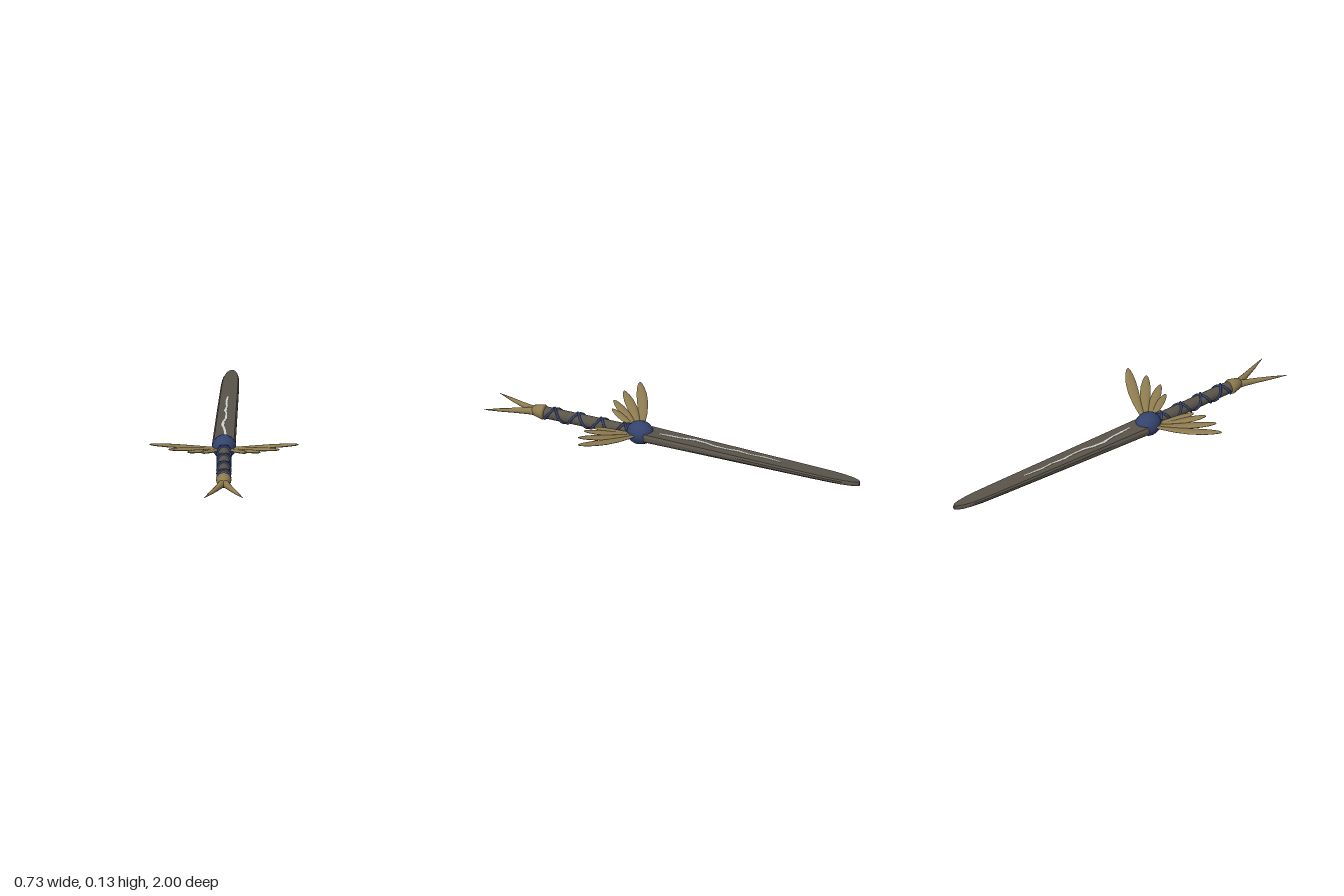
import * as THREE from 'three';
import { toCreasedNormals } from 'three/addons/utils/BufferGeometryUtils.js';

const AXIS_Y = 0.058;
const UP = new THREE.Vector3(0, 1, 0);
const mat = (name, color) => {
  const m = new THREE.MeshStandardMaterial({ color });
  m.name = name;
  return m;
};
const lerp = THREE.MathUtils.lerp;

// Closed solid through stations { p, w, h }; the section is a list of [side, up] factors.
function loft(stations, section, crease = 0.7) {
  const n = section.length, pos = [], idx = [];
  stations.forEach(({ p, w, h }, i) => {
    const before = stations[Math.max(i - 1, 0)].p;
    const after = stations[Math.min(i + 1, stations.length - 1)].p;
    const t = after.clone().sub(before).normalize();
    const side = t.clone().cross(UP).normalize();
    const up = side.clone().cross(t);
    for (const [s, u] of section) {
      const v = p.clone().addScaledVector(side, s * w).addScaledVector(up, u * h);
      pos.push(v.x, v.y, v.z);
    }
  });
  const last = (stations.length - 1) * n;
  for (let i = 0; i < stations.length - 1; i++)
    for (let j = 0; j < n; j++) {
      const a = i * n + j, b = i * n + (j + 1) % n;
      idx.push(a, a + n, b, b, a + n, b + n);
    }
  for (let j = 1; j < n - 1; j++) idx.push(0, j, j + 1, last, last + j + 1, last + j);
  const g = new THREE.BufferGeometry();
  g.setAttribute('position', new THREE.Float32BufferAttribute(pos, 3));
  g.setIndex(idx);
  return toCreasedNormals(g, crease);
}

const oval = (n) => Array.from({ length: n }, (_, i) => {
  const a = (i / n) * Math.PI * 2;
  return [Math.cos(a), Math.sin(a)];
});

export function createModel() {
  const root = new THREE.Group();
  root.name = 'sword';
  const steel = mat('dark steel', 0x5a544a);
  const gold = mat('antique gold', 0x8f7c50);
  const blue = mat('deep blue', 0x35446e);
  const pale = mat('pale crack', 0xd2d2ce);

  const add = (name, geometry, material, parent = root) => {
    const m = new THREE.Mesh(geometry, material);
    m.name = name;
    parent.add(m);
    return m;
  };

  // Blade: left and right edges at each z, leaning slightly to +x
  const halfThick = (z) => lerp(0.021, 0.011, (0.16 - z) / 1.16);
  const outline = [
    [0.16, -0.059, 0.056], [-0.3, -0.04, 0.063], [-0.75, -0.02, 0.07], [-0.85, -0.014, 0.07],
    [-0.91, -0.006, 0.067], [-0.96, 0.006, 0.06], [-0.985, 0.018, 0.052], [-1, 0.03, 0.042],
  ];
  const bladeSection = [
    [1, -0.4], [1, 0.4], [0.86, 1], [-0.86, 1], [-1, 0.4], [-1, -0.4], [-0.86, -1], [0.86, -1],
  ];
  // Every station faces straight along z so the ends stay square
  const blade = loft(outline.map(([z, l, r]) => ({
    p: new THREE.Vector3(0, AXIS_Y - 0.001, z), w: (r - l) / 2, h: halfThick(z),
  })), bladeSection, 0.4);
  const bp = blade.attributes.position;
  for (let i = 0; i < bp.count; i++) {
    const o = outline.find((s) => Math.abs(s[0] - bp.getZ(i)) < 1e-4);
    bp.setX(i, bp.getX(i) + (o[1] + o[2]) / 2);
  }
  add('blade', toCreasedNormals(blade, 0.4), steel);

  // Jagged pale crack on both faces
  const crack = [
    [0.09, 0.008, 0.004], [0.03, 0.004, 0.006], [-0.02, 0.002, 0.005], [-0.09, -0.009, 0.007],
    [-0.15, -0.004, 0.006], [-0.2, 0.008, 0.006], [-0.27, 0.009, 0.004], [-0.33, 0.004, 0.006],
    [-0.4, 0.012, 0.004], [-0.47, 0.008, 0.005], [-0.53, 0.013, 0.004], [-0.57, 0.018, 0.003],
  ];
  for (const s of [1, -1])
    add(s > 0 ? 'crackTop' : 'crackBottom', loft(crack.map(([z, x, w]) => ({
      p: new THREE.Vector3(x, AXIS_Y - 0.001 + s * halfThick(z), z), w, h: 0.0015,
    })), [[1, -1], [1, 1], [-1, 1], [-1, -1]], 0.3), pale);

  // Round guard orb
  const orb = add('guardOrb', new THREE.SphereGeometry(0.06, 14, 10), blue);
  orb.rotation.x = Math.PI / 2;
  orb.scale.y = 1.15;
  orb.position.set(0, 0.06, 0.2);

  // Grip
  const grip = add('grip', new THREE.CylinderGeometry(0.03, 0.03, 0.48, 16), steel);
  grip.rotation.x = Math.PI / 2;
  grip.position.set(0, AXIS_Y, 0.49);

  // Two cords wound in opposite directions
  for (const dir of [1, -1]) {
    const pts = [];
    for (let i = 0; i <= 60; i++) {
      const t = i / 60, a = dir * t * Math.PI * 2 * 3.75;
      pts.push(new THREE.Vector3(Math.cos(a) * 0.031 * dir, AXIS_Y + Math.sin(a) * 0.031 * dir, 0.25 + t * 0.47));
    }
    add('gripCord', new THREE.TubeGeometry(new THREE.CatmullRomCurve3(pts), 150, 0.0065, 6), blue);
  }

  // Pommel collar
  const collar = add('pommelCollar', new THREE.LatheGeometry(
    [[0, 0], [0.033, 0], [0.038, 0.012], [0.033, 0.035], [0.025, 0.065], [0, 0.08]]
      .map(([r, y]) => new THREE.Vector2(r, y)), 16), gold);
  collar.rotation.x = Math.PI / 2;
  collar.position.set(0, AXIS_Y, 0.71);

  for (const s of [1, -1]) {
    const sideName = s > 0 ? 'left' : 'right';

    // Forked pommel prong
    const prong = [[0, 0.73, 0.022], [0.012, 0.79, 0.018], [0.034, 0.85, 0.0135], [0.062, 0.92, 0.009], [0.095, 1, 0.001]];
    add(sideName + 'Prong', loft(prong.map(([x, z, r]) => ({
      p: new THREE.Vector3(s * x, AXIS_Y - 0.003, z), w: r, h: r,
    })), oval(10), 1.2), gold);

    // Feathered wing, longest feather foremost
    const wing = new THREE.Group();
    wing.name = sideName + 'Wing';
    root.add(wing);
    const tips = [[0.363, 0.126, 0.368, 0.027], [0.27, 0.113, 0.41, 0.026], [0.177, 0.103, 0.422, 0.024], [0.108, 0.093, 0.4, 0.021]];
    const profile = [[0, 0.3], [0.2, 0.5], [0.4, 0.8], [0.6, 1], [0.78, 0.95], [0.9, 0.68], [0.97, 0.4], [1, 0.12]];
    tips.forEach(([x, y, z, width], k) => {
      const feather = profile.map(([t, f]) => ({
        p: new THREE.Vector3(
          s * lerp(0.015, x, t),
          lerp(AXIS_Y - 0.002, y, Math.pow(t, 1.3)),
          lerp(0.2 + k * 0.01, z, t) - 0.012 * Math.sin(t * Math.PI)),
        w: width * f,
        h: 0.0075 * Math.sqrt(f),
      }));
      add('feather', loft(feather, oval(10), 1.0), gold, wing);
    });
  }
  return root;
}
